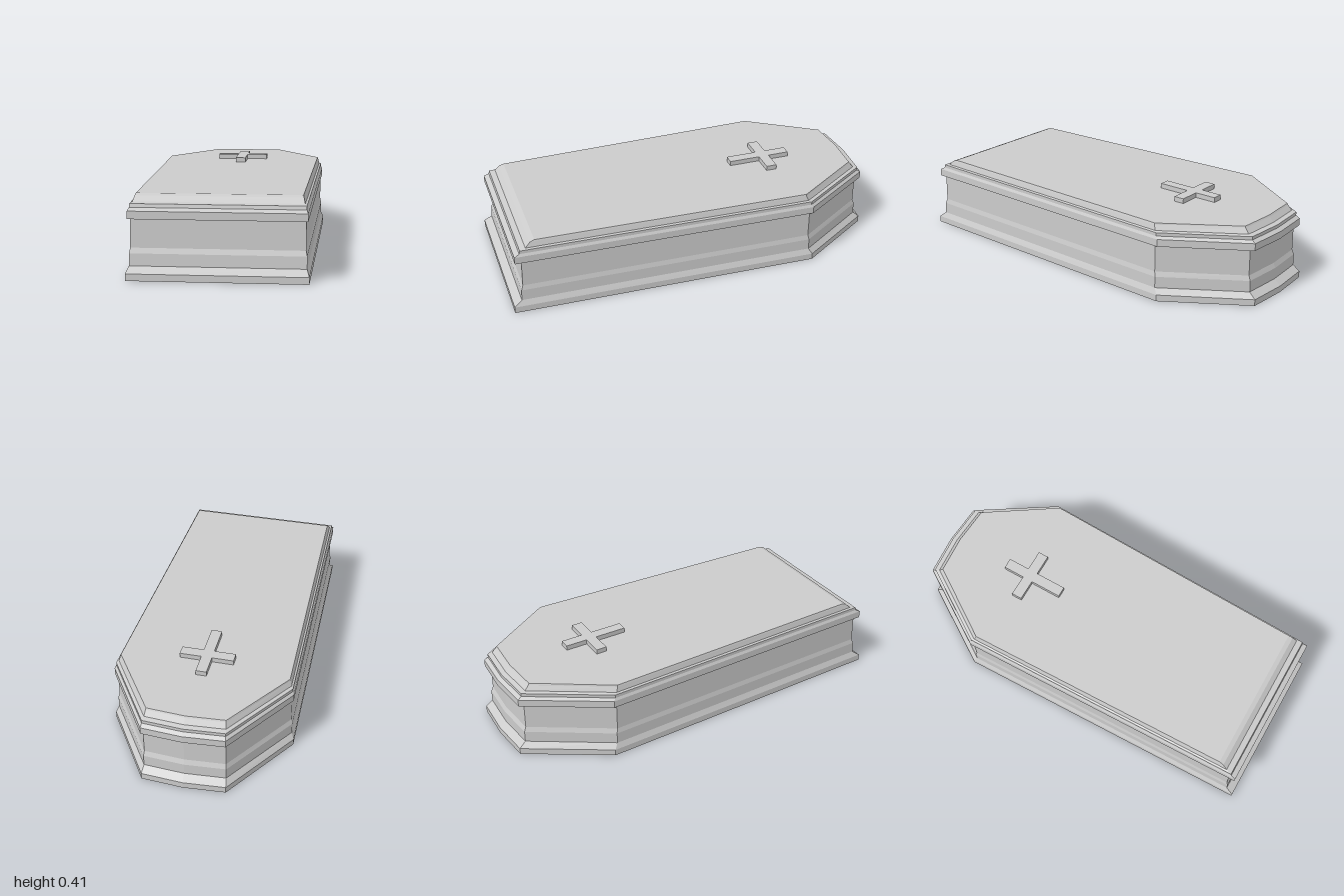
import * as THREE from 'three';

// Base outline, running counter-clockwise seen from above: [x, z]
const half = [[0.42, 1], [0.465, -0.585], [0.21, -0.985]];
const outline = [
  ...half, [0, -1],
  ...half.slice().reverse().map(([x, z]) => [-x, z]),
];

// Stack of scaled outlines; each level is [y, x scale, front z, back z]
function loft(levels) {
  const rings = levels.map(([y, sx, front, back]) => outline.map(([x, z]) => [
    x * sx, y, THREE.MathUtils.lerp(-back, front, (z + 1) / 2),
  ]));
  const pos = [];
  const n = outline.length;
  const tri = (a, b, c) => pos.push(...a, ...b, ...c);
  for (let k = 0; k < rings.length - 1; k++) {
    const lo = rings[k], hi = rings[k + 1];
    for (let i = 0; i < n; i++) {
      const j = (i + 1) % n;
      tri(lo[i], lo[j], hi[j]);
      tri(lo[i], hi[j], hi[i]);
    }
  }
  // Flat caps, fanned from the first corner
  const bottom = rings[0], top = rings[rings.length - 1];
  for (let i = 1; i < n - 1; i++) {
    tri(bottom[0], bottom[i + 1], bottom[i]);
    tri(top[0], top[i], top[i + 1]);
  }
  const geo = new THREE.BufferGeometry();
  geo.setAttribute('position', new THREE.Float32BufferAttribute(pos, 3));
  geo.computeVertexNormals();
  return geo;
}

export function createModel() {
  const group = new THREE.Group();
  const material = new THREE.MeshStandardMaterial({ color: 0xcccccc, flatShading: true });
  const add = (name, geo) => {
    const mesh = new THREE.Mesh(geo, material);
    mesh.name = name;
    group.add(mesh);
    return mesh;
  };

  // Body with a stepped plinth
  add('body', loft([
    [0, 1, 1, 1],
    [0.033, 1, 1, 1],
    [0.062, 0.973, 0.96, 0.965],
    [0.12, 0.973, 0.957, 0.965],
    [0.145, 0.96, 0.948, 0.955],
    [0.283, 0.96, 0.945, 0.955],
  ]));

  // Lid with an overhanging lip and a bevelled top
  add('lid', loft([
    [0.283, 0.98, 0.978, 0.985],
    [0.32, 0.98, 0.978, 0.985],
    [0.333, 0.965, 0.952, 0.965],
    [0.35, 0.965, 0.948, 0.965],
    [0.355, 0.943, 0.918, 0.94],
    [0.38, 0.928, 0.893, 0.92],
    [0.388, 0.922, 0.87, 0.915],
  ]));

  // Raised cross lying on the lid
  const w = 0.027, arm = 0.137;
  const pts = [
    [-w, 0.28], [w, 0.28], [w, 0.445], [arm, 0.445], [arm, 0.5], [w, 0.5],
    [w, 0.613], [-w, 0.613], [-w, 0.5], [-arm, 0.5], [-arm, 0.445], [-w, 0.445],
  ];
  const shape = new THREE.Shape(pts.map(([x, y]) => new THREE.Vector2(x, y)));
  const cross = add('cross', new THREE.ExtrudeGeometry(shape, { depth: 0.026, bevelEnabled: false }));
  cross.rotation.x = -Math.PI / 2;
  cross.position.y = 0.387;

  return group;
}
